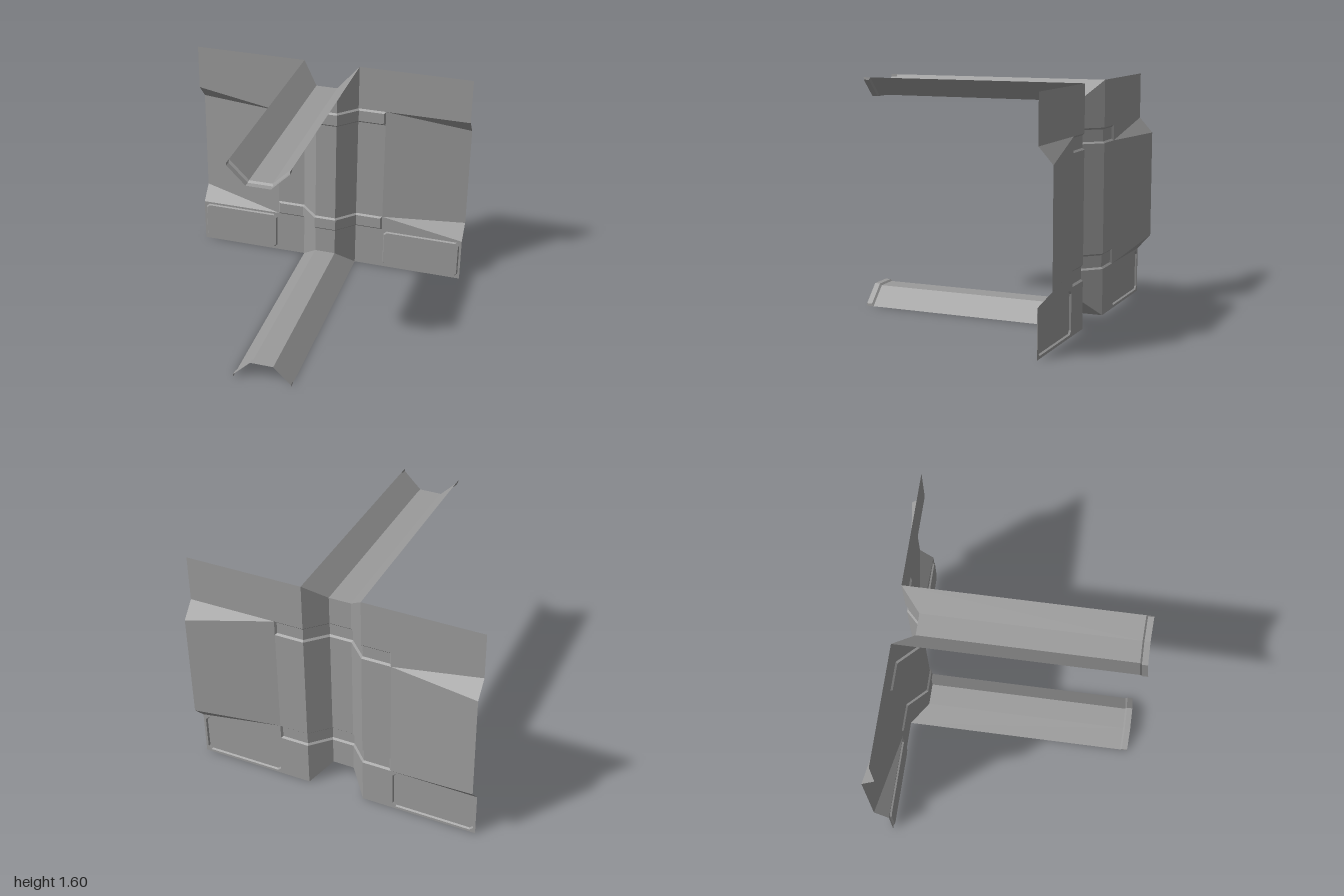
import * as THREE from 'three';

const material = new THREE.MeshStandardMaterial({ color: 0x9b9b9b, flatShading: true, side: THREE.DoubleSide });
const WALL_Z = -0.752, H = 1.6, RAISE = 0.012;

function add(parent, name, geometry) {
  const mesh = new THREE.Mesh(geometry, material);
  mesh.name = name;
  parent.add(mesh);
}

// Sheet through rows of [x, y, z] points; rows run left to right, bottom to top
function sheet(rows) {
  const pos = [];
  for (let r = 0; r + 1 < rows.length; r++) {
    for (let i = 0; i + 1 < rows[r].length; i++) {
      const [a, b, c, d] = [rows[r][i], rows[r][i + 1], rows[r + 1][i + 1], rows[r + 1][i]];
      pos.push(...a, ...b, ...d, ...b, ...c, ...d);
    }
  }
  const g = new THREE.BufferGeometry();
  g.setAttribute('position', new THREE.Float32BufferAttribute(pos, 3));
  g.computeVertexNormals();
  return g;
}

// Trapezoid ridge section as [x, height], and the same section raised a little
const ridge = [[-0.2, 0], [-0.075, 0.125], [0.075, 0.125], [0.2, 0]];
const wallSection = [[-0.4, 0], ...ridge, [0.4, 0]];
const raisedRidge = [[-0.08, 0.137], [0.08, 0.137]];
const strapSection = [[-0.388, RAISE], [-0.205, RAISE], ...raisedRidge, [0.205, RAISE], [0.388, RAISE]];
const lipSection = [[-0.2, 0.017], ...raisedRidge, [0.2, 0.017]];

// Heights where the straps and the folds of the side panels begin and end
const LOW = [0.321, 0.427], HIGH = [1.177, 1.282];

// Rows of a section raised out of its base; the side ends are closed down to the base
const closeEnds = (base, inner) => [base[0], ...inner, base[base.length - 1]];

// Rectangle with cut corners, listed counter-clockwise
function cutRect(x0, y0, x1, y1, c) {
  return [[x0 + c, y0], [x1 - c, y0], [x1, y0 + c], [x1, y1 - c],
    [x1 - c, y1], [x0 + c, y1], [x0, y1 - c], [x0, y0 + c]];
}
const toVectors = pts => pts.map(([x, y]) => new THREE.Vector2(x, y));

export function createModel() {
  const model = new THREE.Group();
  model.name = 'wallSection';
  const onWall = (section, y) => section.map(([x, h]) => [x, y, WALL_Z + h]);

  // Centre of the wall with the vertical ridge, mitred at floor and ceiling
  add(model, 'ridgeBottom', sheet([
    wallSection.map(([x, h]) => [x, h, WALL_Z + h]), onWall(wallSection, LOW[0])]));
  add(model, 'ridgeMiddle', sheet([onWall(wallSection, LOW[1]), onWall(wallSection, HIGH[0])]));
  add(model, 'ridgeTop', sheet([
    onWall(wallSection, HIGH[1]), wallSection.map(([x, h]) => [x, H - h, WALL_Z + h])]));

  // Raised straps across the ridge
  for (const [name, [y0, y1]] of [['lowerStrap', LOW], ['upperStrap', HIGH]]) {
    const flat = closeEnds(wallSection, wallSection);
    const raised = closeEnds(wallSection, strapSection);
    add(model, name, sheet([
      onWall(flat, y0), onWall(raised, y0 + RAISE), onWall(raised, y1 - RAISE), onWall(flat, y1)]));
  }

  for (const side of [-1, 1]) {
    const label = side > 0 ? 'left' : 'right';
    const x0 = side > 0 ? 0.4 : -1, x1 = side > 0 ? 1 : -0.4;

    // Side panel, folded back towards its outer edge between the straps
    const row = (y, back) => [x0, x1].map(x => [x, y, WALL_Z - (Math.abs(x) === 1 ? back : 0)]);
    add(model, label + 'SidePanel', sheet([
      row(LOW[0], 0), row(LOW[1], 0.094), row(HIGH[0], 0.094), row(HIGH[1], 0), row(H, 0)]));

    // Lower panel with an opening for the raised plate
    const px0 = side > 0 ? 0.414 : -0.984, px1 = side > 0 ? 0.984 : -0.414;
    const outer = cutRect(px0, 0.018, px1, 0.306, 0.023);
    const inner = cutRect(px0 + 0.007, 0.025, px1 - 0.007, 0.299, 0.02);
    const panel = new THREE.Shape(toVectors([[x0, 0], [x1, 0], [x1, LOW[0]], [x0, LOW[0]]]));
    panel.holes.push(new THREE.Path(toVectors([...outer].reverse())));
    add(model, label + 'LowerPanel', new THREE.ShapeGeometry(panel).translate(0, 0, WALL_Z));

    // Raised plate: steep rim and flat face
    const ring = (pts, z) => [...pts, pts[0]].map(([x, y]) => [x, y, z]);
    add(model, label + 'PlateRim', sheet([ring(outer, WALL_Z), ring(inner, WALL_Z + RAISE)]));
    add(model, label + 'PlateFace',
      new THREE.ShapeGeometry(new THREE.Shape(toVectors(inner))).translate(0, 0, WALL_Z + RAISE));
  }

  // Floor and ceiling ribs, each ending in a raised lip
  for (const [name, yOf] of [['floor', h => h], ['ceiling', h => H - h]]) {
    const along = (section, z) => section.map(([x, h]) => [x, yOf(h), z]);
    const rows = [
      along(ridge, 0.796), ridge.map(([x, h]) => [x, yOf(h), WALL_Z + h])];
    const lip = closeEnds(ridge, lipSection);
    const lipRows = [along(lip, 0.847), along(lip, 0.808), along(closeEnds(ridge, ridge), 0.796)];
    // Mirrored ribs list their rows in reverse so the faces point inward
    const order = r => (name === 'floor' ? r : [...r].reverse());
    add(model, name + 'Rib', sheet(order(rows)));
    add(model, name + 'RibLip', sheet(order(lipRows)));
  }
  return model;
}
